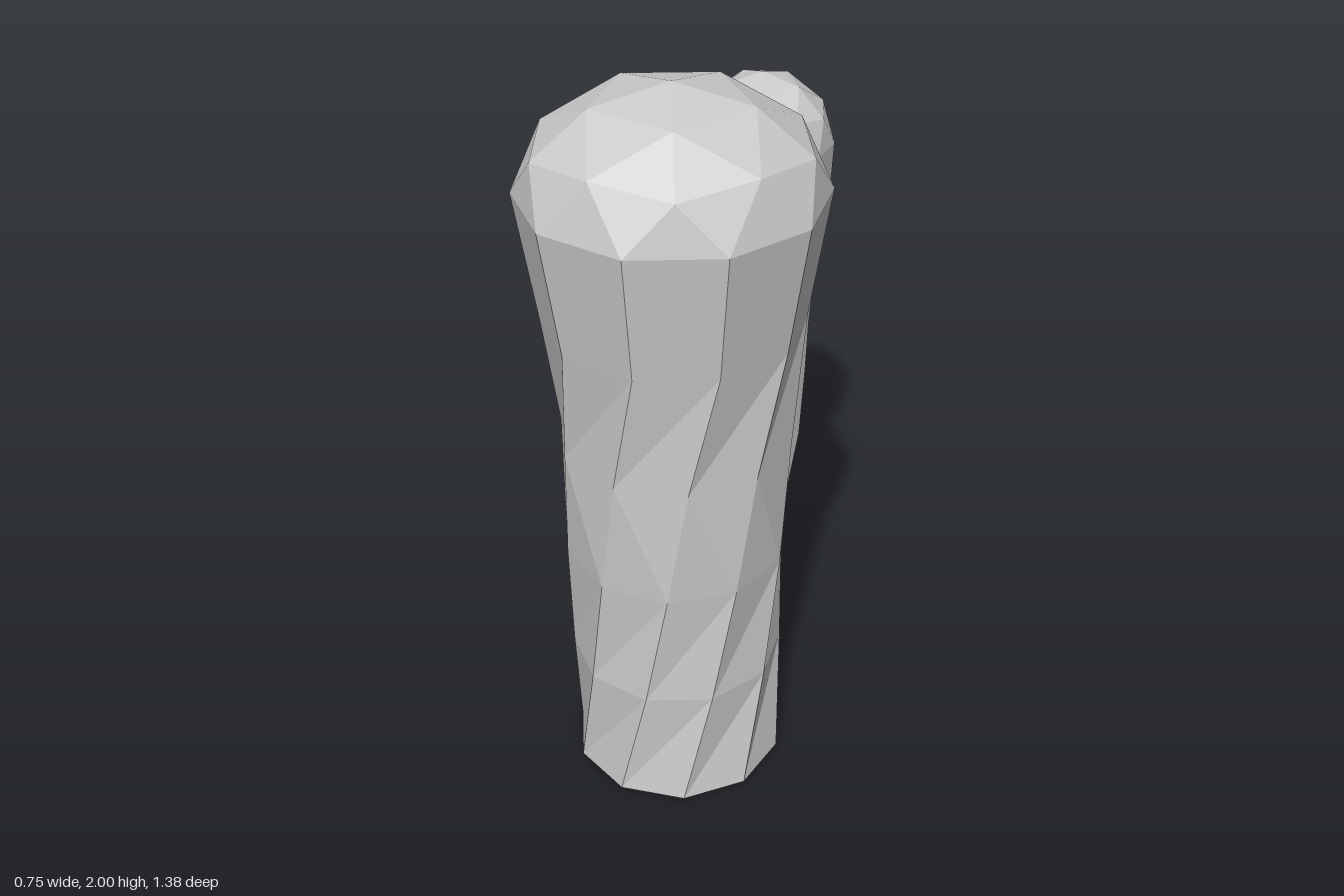
import * as THREE from 'three';

const SIDES = 10;
const rad = THREE.MathUtils.degToRad;

const material = new THREE.MeshStandardMaterial({
  color: 0xcccccc, flatShading: true, side: THREE.DoubleSide,
});

// One ring of points; tilt is the elevation of the stem direction
// (0 = pointing back, 90 = straight up), phase turns the ring about it.
function ring({ x = 0, y, z, r, tilt = 90, phase }, count = SIDES) {
  const e = rad(tilt);
  return Array.from({ length: count }, (_, i) => {
    const a = rad(phase + (360 / count) * i);
    const n = r * Math.sin(a);
    return new THREE.Vector3(x + r * Math.cos(a), y + n * Math.cos(e), z + n * Math.sin(e));
  });
}

function meshFromTriangles(name, points) {
  const geometry = new THREE.BufferGeometry().setFromPoints(points);
  geometry.computeVertexNormals();
  const mesh = new THREE.Mesh(geometry, material);
  mesh.name = name;
  return mesh;
}

// Skin a list of rings with quads
function stem(name, sections) {
  const rings = sections.map((s) => ring(s));
  const points = [];
  for (let j = 0; j < rings.length - 1; j++) {
    const low = rings[j], high = rings[j + 1];
    for (let i = 0; i < SIDES; i++) {
      const k = (i + 1) % SIDES;
      points.push(low[i], high[i], low[k], low[k], high[i], high[k]);
    }
  }
  return meshFromTriangles(name, points);
}

// Upper half of a once-subdivided icosahedron, stretched to the given height
function dome(name, { x = 0, y, z, r, phase }, height) {
  const level = (polar, turn, count) => ring({
    x, z, y: y + height * Math.cos(rad(polar)), r: r * Math.sin(rad(polar)), phase: phase + turn,
  }, count);
  const pole = new THREE.Vector3(x, y + height, z);
  const crown = level(31.72, -18, 5);
  const corners = level(63.43, -18, 5);
  const middles = level(58.28, 18, 5);
  const shoulder = corners.flatMap((c, i) => [c, middles[i]]);
  const rim = level(90, 0, SIDES);
  const points = [];
  for (let i = 0; i < 5; i++) {
    const a = crown[i], b = crown[(i + 1) % 5];
    const s0 = shoulder[2 * i], s1 = shoulder[2 * i + 1], s2 = shoulder[(2 * i + 2) % SIDES];
    points.push(pole, b, a, a, s1, s0, a, b, s1, b, s2, s1);
  }
  for (let i = 0; i < SIDES; i++) {
    const k = (i + 1) % SIDES;
    points.push(shoulder[i], shoulder[k], rim[i], rim[i], shoulder[k], rim[k]);
  }
  return meshFromTriangles(name, points);
}

export function createModel() {
  const model = new THREE.Group();
  model.name = 'cactus';

  // Trunk: [height, radius, twist in degrees], open at the bottom
  const trunkSections = [
    [0, 0.293, -16], [0.345, 0.29, 0], [0.69, 0.3, 12.5],
    [1.03, 0.31, -13], [1.375, 0.34, 0], [1.72, 0.395, 0],
  ].map(([y, r, twist]) => ({ y, z: 0.293, r, phase: 18 - twist }));
  const trunk = new THREE.Group();
  trunk.name = 'trunk';
  trunk.add(stem('trunkStem', trunkSections), dome('trunkDome', trunkSections.at(-1), 0.28));

  // Arm: [z, height, radius, tilt], leaves the trunk backwards and bends up
  const armSections = [
    [0.1, 0.465, 0.155, 0], [-0.09, 0.467, 0.157, 8], [-0.205, 0.507, 0.155, 29],
    [-0.383, 0.645, 0.155, 53], [-0.453, 0.828, 0.152, 74], [-0.485, 0.955, 0.15, 86],
    [-0.486, 1.1, 0.162, 90], [-0.486, 1.38, 0.198, 90], [-0.486, 1.54, 0.206, 90],
  ].map(([z, y, r, tilt]) => ({ x: 0.027, y, z, r, tilt, phase: 26 }));
  const arm = new THREE.Group();
  arm.name = 'arm';
  arm.add(stem('armStem', armSections), dome('armDome', armSections.at(-1), 0.205));

  model.add(trunk, arm);
  return model;
}
